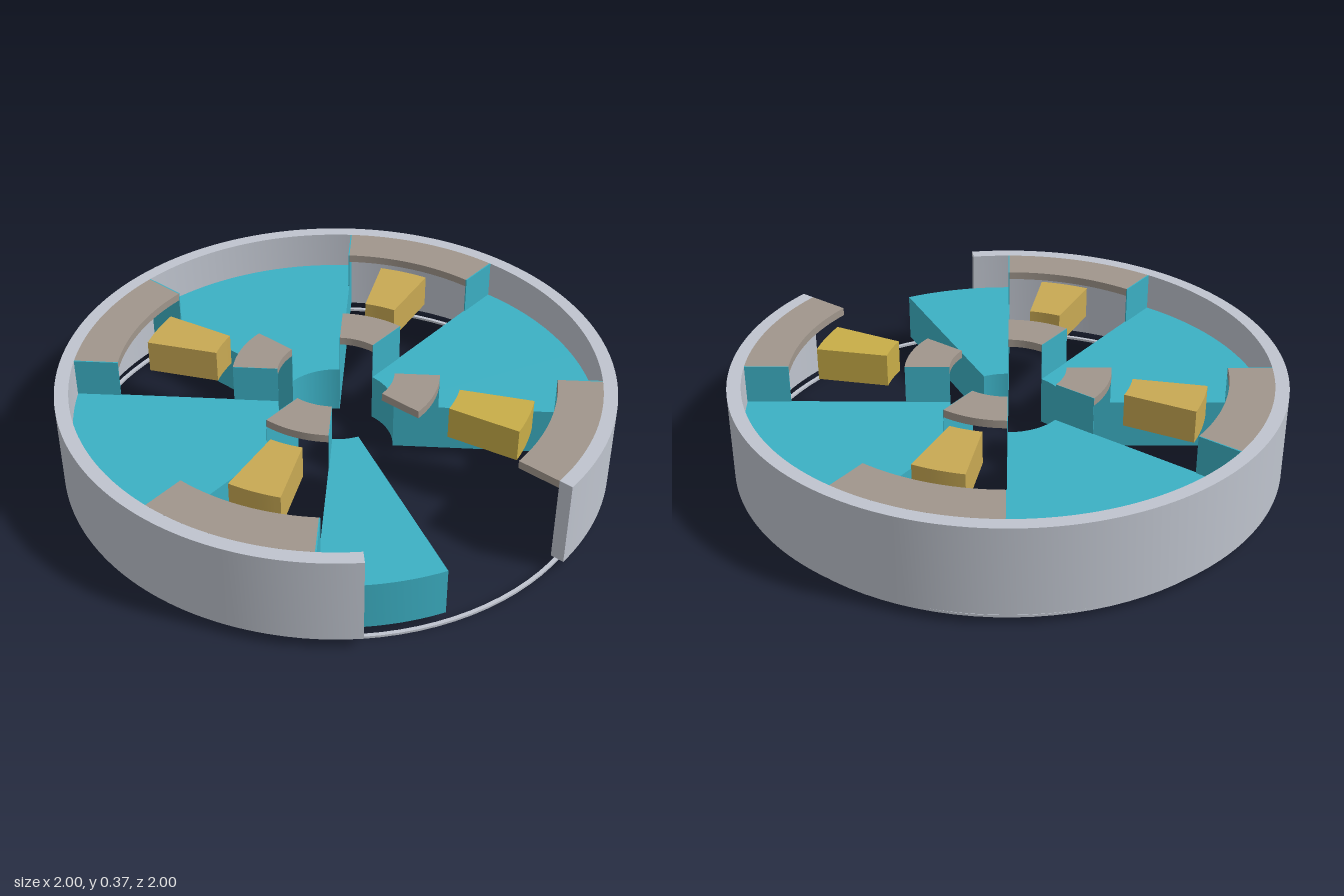
import * as THREE from 'three';
import { toCreasedNormals } from 'three/addons/utils/BufferGeometryUtils.js';

const material = (name, color) => Object.assign(new THREE.MeshStandardMaterial({ color }), { name });

// Solid ring sector: angles in degrees from +x towards +z, between two radii and two heights
function sector(r0, r1, a0, a1, y0, y1) {
  const s = THREE.MathUtils.degToRad(a0), e = THREE.MathUtils.degToRad(a1);
  const shape = new THREE.Shape();
  shape.absarc(0, 0, r1, s, e, false);
  shape.absarc(0, 0, r0, e, s, true);
  shape.closePath();
  const geo = new THREE.ExtrudeGeometry(shape, {
    depth: y1 - y0, bevelEnabled: false, curveSegments: Math.max(1, Math.ceil((a1 - a0) / 4)),
  });
  geo.rotateX(Math.PI / 2).translate(0, y1, 0);
  return toCreasedNormals(geo, 0.5);
}

export function createModel() {
  const steel = material('steel grey', 0xbfc4ce);
  const teal = material('teal', 0x3cb0c4);
  const taupe = material('taupe', 0xa0968c);
  const gold = material('gold', 0xc8a953);
  const yellow = material('yellow gold', 0xc8ad48);

  const model = new THREE.Group();
  const add = (parent, name, geo, mat) => {
    const mesh = new THREE.Mesh(geo, mat);
    mesh.name = name;
    parent.add(mesh);
  };

  const BOTTOM = 0.045, STEP = 0.23, TOP = 0.375;
  const INNER = [0.21, 0.372], OUTER = [0.79, 0.95];

  // Outer casing with an open eighth
  add(model, 'casing', sector(0.95, 1, 45, 360, BOTTOM, TOP), steel);

  // Thin guide ring underneath
  const profile = [[0.948, 0.004], [0.962, 0.004], [0.962, 0.013], [0.948, 0.013], [0.948, 0.004]]
    .map(([x, y]) => new THREE.Vector2(x, y));
  add(model, 'baseRing', toCreasedNormals(new THREE.LatheGeometry(profile, 96), 0.5), steel);

  for (let i = 0; i < 4; i++) {
    const start = i * 90, end = start + 54;
    const trimmed = i === 0;

    // Wedge with short upright walls along its edges; the first is cut short
    const wedge = new THREE.Group();
    wedge.name = 'wedge' + (i + 1);
    add(wedge, 'wedgeBody', sector(0.21, 0.949, trimmed ? 28 : start, end, BOTTOM, STEP), teal);
    for (const [r0, r1] of [INNER, OUTER]) {
      add(wedge, 'endWall', sector(r0, r1, end - 0.3, end, STEP, TOP), teal);
      if (!trimmed) add(wedge, 'startWall', sector(r0, r1, start, start + 0.3, STEP, TOP), teal);
    }
    model.add(wedge);

    // Bridging plates and the block floating between them
    const bay = new THREE.Group();
    bay.name = 'bay' + (i + 1);
    add(bay, 'innerPlate', sector(...INNER, end, start + 90, 0.345, TOP), taupe);
    add(bay, 'outerPlate', sector(...OUTER, end, start + 90, 0.345, TOP), taupe);
    add(bay, 'block', sector(0.45, 0.715, end + 10.5, end + 25.5, 0.25, TOP), i === 3 ? yellow : gold);
    model.add(bay);
  }
  return model;
}
